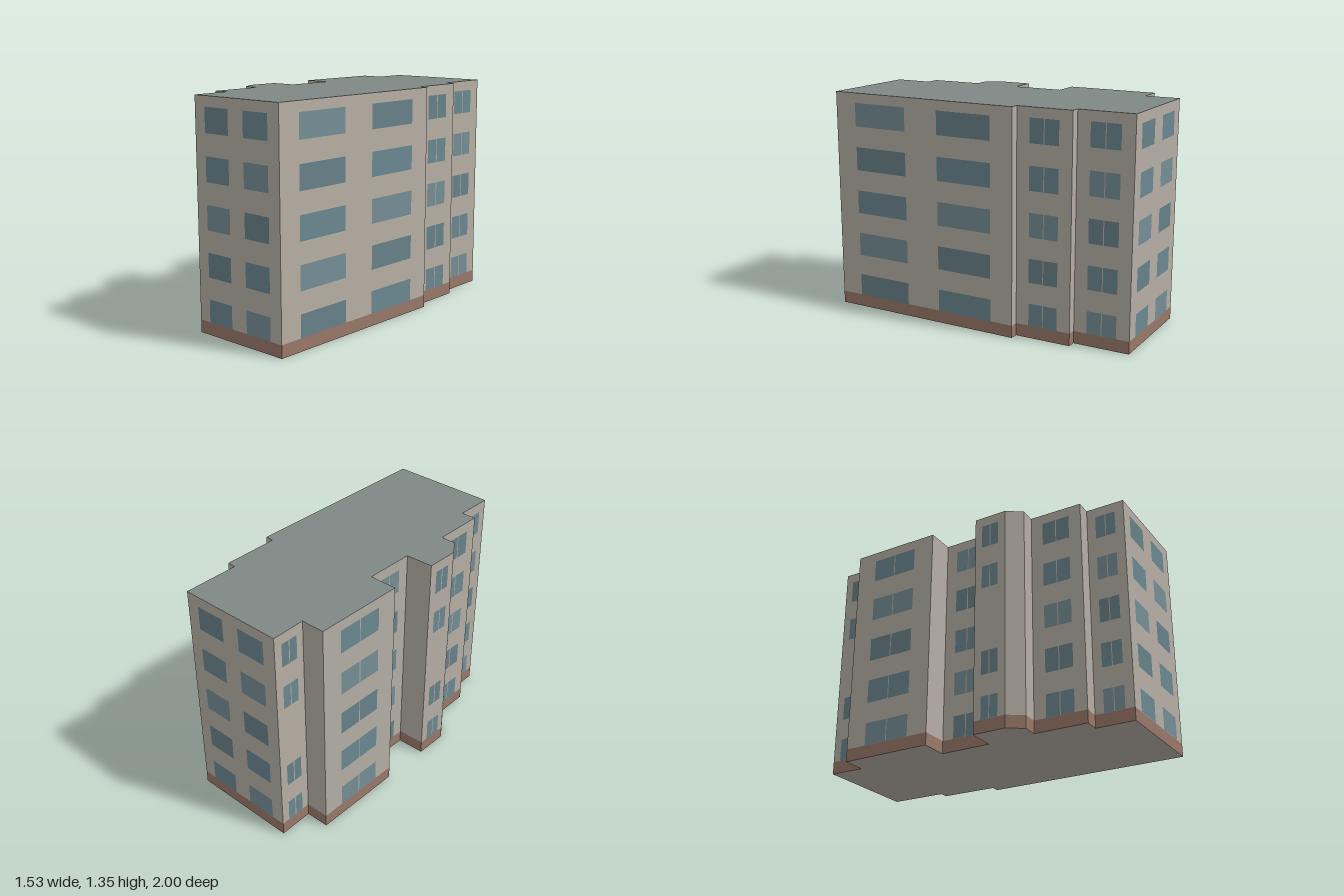
import * as THREE from 'three';

const HEIGHT = 1.35, PLINTH = 0.075;
const FLOORS = 5, FLOOR_STEP = 0.27, SILL = 0.067, WINDOW_H = 0.143;

// Window layouts: spans along a wall (0..1), and whether each is split in two panes
const END = { spans: [[0.125, 0.41], [0.59, 0.875]] };
const LONG = { spans: [[0.116, 0.409], [0.591, 0.884]] };
const PAIR = { spans: [[0.235, 0.765]], split: true };
const STAIR = { ...PAIR, skip: 2 };

// Footprint corners [x, z], clockwise from above, each with the layout of the wall that starts there
const CORNERS = [
  [0.23, -1.0, END],
  [0.765, -0.633, PAIR],
  [0.575, -0.351],
  [0.617, -0.32, PAIR],
  [0.426, -0.036],
  [0.467, -0.006, LONG],
  [-0.232, 1.0, END],
  [-0.767, 0.625, PAIR],
  [-0.637, 0.436],
  [-0.712, 0.386, PAIR],
  [-0.533, 0.123],
  [-0.607, 0.073],
  [-0.607, -0.038, STAIR],
  [-0.492, -0.202],
  [-0.353, -0.11, PAIR],
  [-0.18, -0.358],
  [-0.317, -0.453, PAIR],
  [0.0, -0.907],
  [0.116, -0.828, STAIR],
];

const paint = (color) => new THREE.MeshStandardMaterial({ color });
const wallPaint = paint(0xb5aea4);
const roofPaint = paint(0x7f8884);
const brickPaint = paint(0x987868);
const glassPaints = [paint(0x6b8790), paint(0x748e95), paint(0x678189)];

// Vertical prism over the footprint
function prism(name, y0, y1, capMaterial, sideMaterial) {
  const shape = new THREE.Shape(CORNERS.map(([x, z]) => new THREE.Vector2(x, -z)));
  const geo = new THREE.ExtrudeGeometry(shape, { depth: y1 - y0, bevelEnabled: false });
  geo.rotateX(-Math.PI / 2).translate(0, y0, 0);
  const mesh = new THREE.Mesh(geo, [capMaterial, sideMaterial]);
  mesh.name = name;
  return mesh;
}

// All windows of the wall running from corner a to corner b
function wallWindows(a, b, index) {
  const { spans, split, skip } = a[2];
  const dx = b[0] - a[0], dz = b[1] - a[1], length = Math.hypot(dx, dz);
  const group = new THREE.Group();
  group.name = `windowsOfWall${index}`;
  // local x runs from b to a, local z points outwards
  group.position.set(b[0], 0, b[1]);
  group.rotation.y = Math.atan2(dz, -dx);

  const addPane = (x0, x1, y0, y1, shade) => {
    const pane = new THREE.Mesh(new THREE.PlaneGeometry(x1 - x0, y1 - y0), glassPaints[shade]);
    pane.position.set((x0 + x1) / 2, (y0 + y1) / 2, 0.002);
    pane.name = 'windowPane';
    group.add(pane);
  };

  for (let floor = 0; floor < FLOORS; floor++) {
    if (floor === skip) continue;
    const sill = SILL + floor * FLOOR_STEP;
    const y0 = Math.max(sill, PLINTH), y1 = sill + WINDOW_H;
    spans.forEach(([s, e], k) => {
      const x0 = s * length, x1 = e * length, mid = (x0 + x1) / 2;
      const shade = (floor * 2 + k + index) % 3;
      if (split) {
        addPane(x0, mid - 0.003, y0, y1, shade);
        addPane(mid + 0.003, x1, y0, y1, shade);
      } else addPane(x0, x1, y0, y1, shade);
    });
  }
  return group;
}

export function createModel() {
  const building = new THREE.Group();
  building.name = 'apartmentBlock';
  building.add(prism('plinth', 0, PLINTH, wallPaint, brickPaint));
  building.add(prism('wallsAndRoof', PLINTH, HEIGHT, roofPaint, wallPaint));
  CORNERS.forEach((a, i) => {
    if (a[2]) building.add(wallWindows(a, CORNERS[(i + 1) % CORNERS.length], i));
  });
  return building;
}
